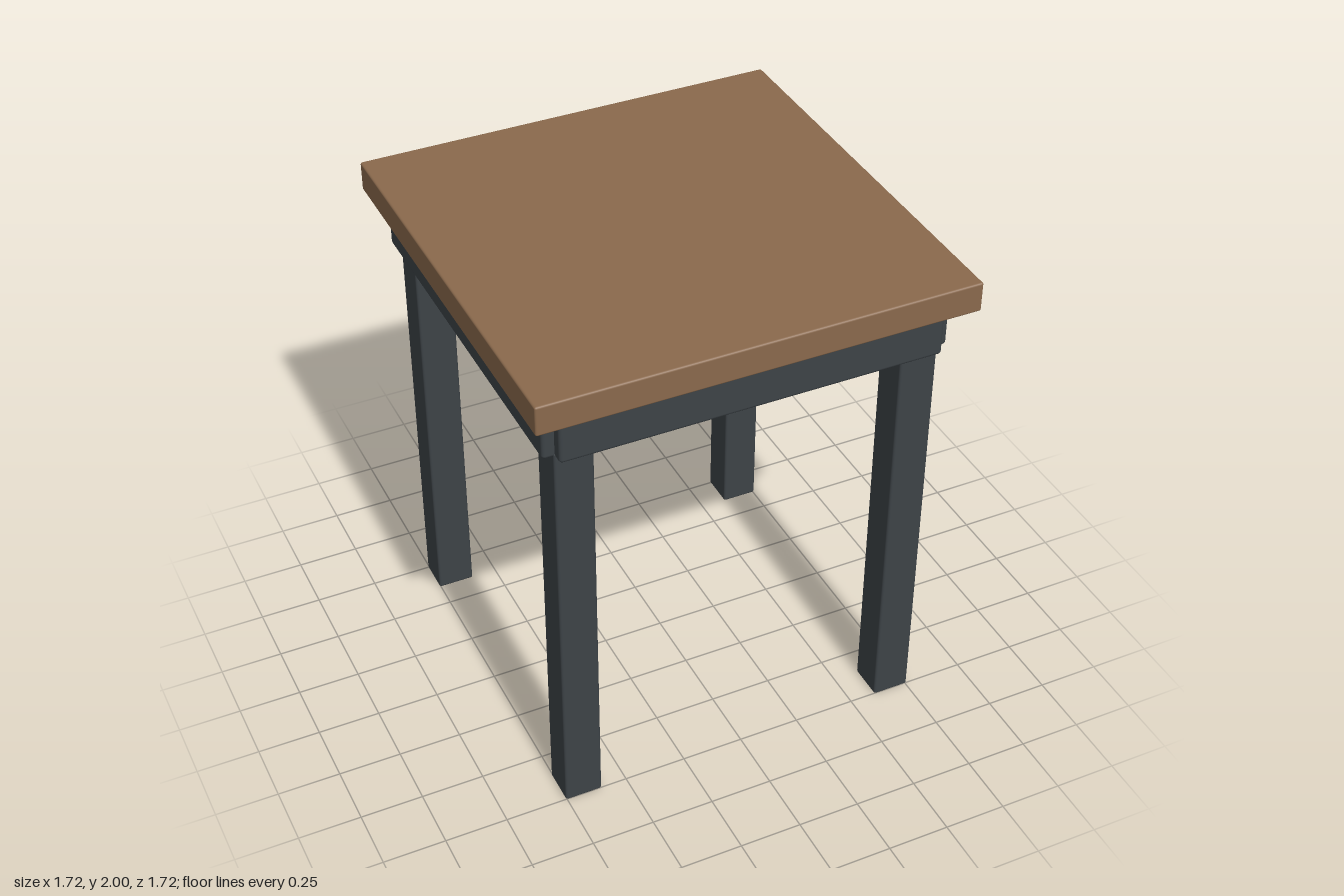
import * as THREE from 'three';
import { RoundedBoxGeometry } from 'three/addons/geometries/RoundedBoxGeometry.js';

const wood = new THREE.MeshStandardMaterial({ color: 0x8a694c });
wood.name = 'brown wood';
const paint = new THREE.MeshStandardMaterial({ color: 0x3d4347 });
paint.name = 'charcoal paint';

// Box with softened edges, placed by its centre
function board(name, size, position, bevel, material) {
  const mesh = new THREE.Mesh(new RoundedBoxGeometry(...size, 2, bevel), material);
  mesh.name = name;
  mesh.position.set(...position);
  return mesh;
}

export function createModel() {
  const table = new THREE.Group();
  table.name = 'sideTable';

  // Square top
  table.add(board('tableTop', [1.716, 0.12, 1.716], [0, 1.94, 0], 0.008, wood));

  // Four legs, tucked into the apron
  for (const [zName, z] of [['front', 1], ['back', -1]]) {
    for (const [xName, x] of [['Left', 1], ['Right', -1]]) {
      table.add(board(`${zName}${xName}Leg`, [0.15, 1.7, 0.15], [x * 0.68, 0.85, z * 0.68], 0.01, paint));
    }
  }

  // Apron boards, stopping short of the outer corners to leave a small notch
  ['front', 'left', 'back', 'right'].forEach((side, i) => {
    const pivot = new THREE.Group();
    pivot.name = `${side}Apron`;
    pivot.rotation.y = i * Math.PI / 2;
    pivot.add(board(`${side}ApronBoard`, [1.5, 0.198, 0.106], [0, 1.782, 0.743], 0.014, paint));
    table.add(pivot);
  });

  return table;
}
